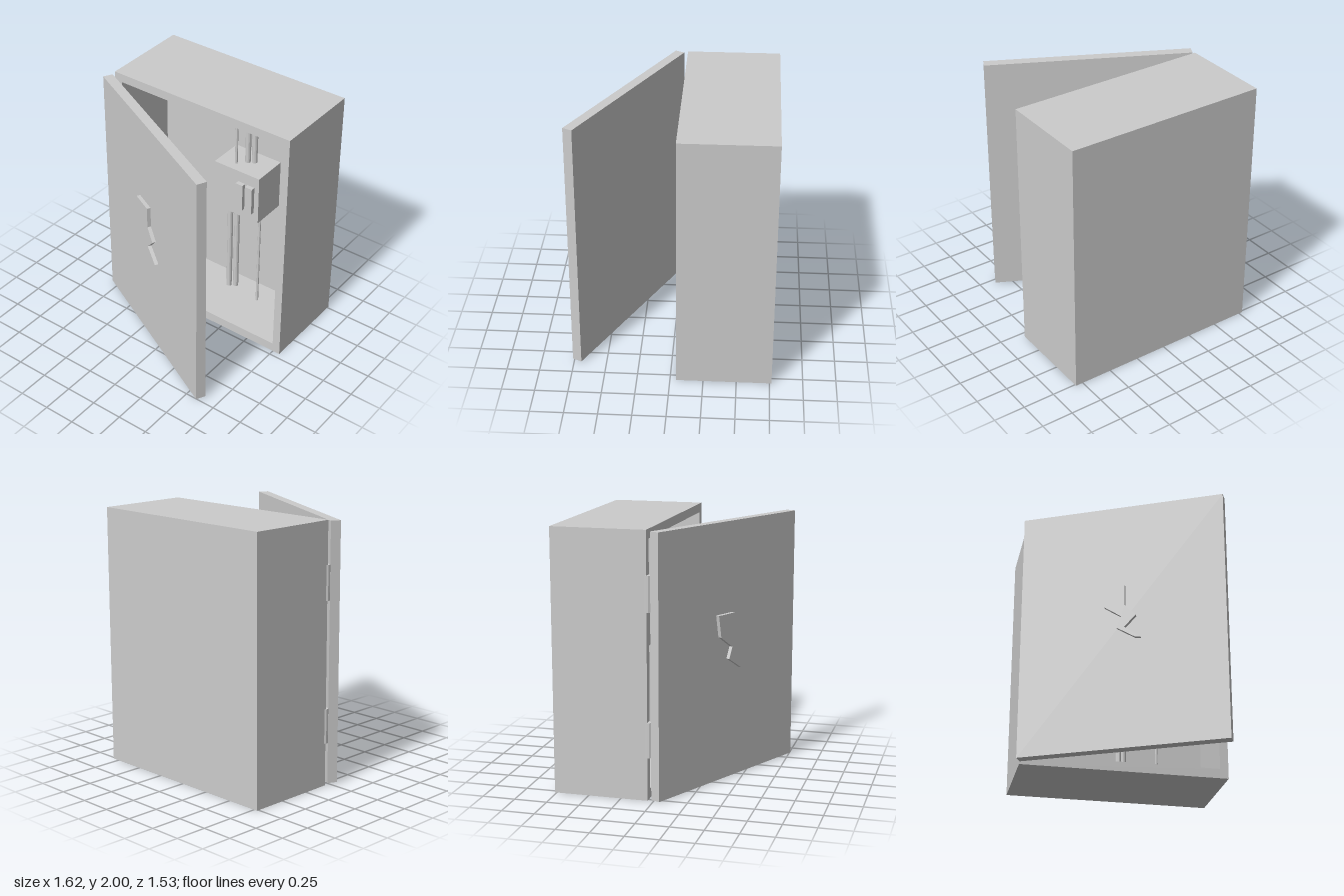
import * as THREE from 'three';

const material = new THREE.MeshStandardMaterial({ color: 0xcccccc, flatShading: true });

function add(parent, name, geometry, x = 0, y = 0, z = 0) {
  const mesh = new THREE.Mesh(geometry, material);
  mesh.name = name;
  mesh.position.set(x, y, z);
  parent.add(mesh);
  return mesh;
}

// Box given by its limits on each axis
function block(parent, name, [x0, x1], [y0, y1], [z0, z1]) {
  return add(parent, name, new THREE.BoxGeometry(x1 - x0, y1 - y0, z1 - z0),
    (x0 + x1) / 2, (y0 + y1) / 2, (z0 + z1) / 2);
}

// Upright rod between two heights
function rod(parent, name, radius, x, z, y0, y1, sides = 12) {
  return add(parent, name, new THREE.CylinderGeometry(radius, radius, y1 - y0, sides), x, (y0 + y1) / 2, z);
}

const outline = (points) => points.map(([x, y]) => new THREE.Vector2(x, y));
const rect = (x0, x1, y0, y1) => outline([[x0, y0], [x1, y0], [x1, y1], [x0, y1]]);

export function createModel() {
  const model = new THREE.Group();
  model.name = 'electricalCabinet';

  // Cabinet: walls extruded around the opening, closed by a thick back
  const backZ = -0.595, frontZ = -0.045;
  const walls = new THREE.Shape(rect(-0.78, 0.81, 0, 2));
  walls.holes.push(new THREE.Path(rect(-0.715, 0.745, 0.075, 1.93)));
  add(model, 'cabinetWalls',
    new THREE.ExtrudeGeometry(walls, { depth: frontZ - backZ, bevelEnabled: false }), 0, 0, backZ);
  block(model, 'cabinetBack', [-0.78, 0.81], [0, 2], [-0.765, backZ]);

  // Breaker unit on the back wall, with two switches
  const breaker = new THREE.Group();
  breaker.name = 'breaker';
  model.add(breaker);
  block(breaker, 'breakerBody', [-0.026, 0.39], [0.94, 1.351], [backZ, -0.305]);
  for (const x of [0.198, 0.284]) {
    block(breaker, 'breakerSwitch', [x, x + 0.065], [1.025, 1.257], [-0.31, -0.27]);
  }

  // Cables from the ceiling to the breaker and from the breaker to the floor
  const cables = [
    // radius, x, z
    [0.011, 0.12, -0.385], [0.022, 0.18, -0.455], [0.022, 0.225, -0.48],
  ];
  for (const [r, x, z] of cables) rod(model, 'upperCable', r, x, z, 1.34, 1.94);
  const lowerCables = [
    [0.011, 0.338, -0.411], [0.022, 0.04, -0.435], [0.022, 0.085, -0.465],
  ];
  for (const [r, x, z] of lowerCables) rod(model, 'lowerCable', r, x, z, 0.07, 0.95);

  // Hinge barrels on the left front edge
  for (const [y0, y1] of [[0.33, 0.595], [1.41, 1.675]]) {
    rod(model, 'hinge', 0.028, -0.762, -0.038, y0, y1, 10);
  }

  // Door swung open
  const door = new THREE.Group();
  door.name = 'door';
  door.position.set(-0.09, 0, 0.3725);
  door.rotation.y = -0.465;
  model.add(door);
  block(door, 'doorPanel', [-0.791, 0.791], [0.01, 1.99], [-0.0385, 0.0385]);

  // Raised warning bolt on the outside of the door
  const bolt = new THREE.Shape(outline([
    [-0.158, 1.3], [-0.13, 1.13], [0, 1.04], [-0.035, 0.95], [0.107, 0.86],
    [0.148, 0.855], [0.025, 0.95], [0.112, 1.04], [0.027, 1.13], [0.027, 1.3],
  ]));
  add(door, 'warningBolt',
    new THREE.ExtrudeGeometry(bolt, { depth: 0.03, bevelEnabled: false }), 0, 0, 0.0375);

  return model;
}
